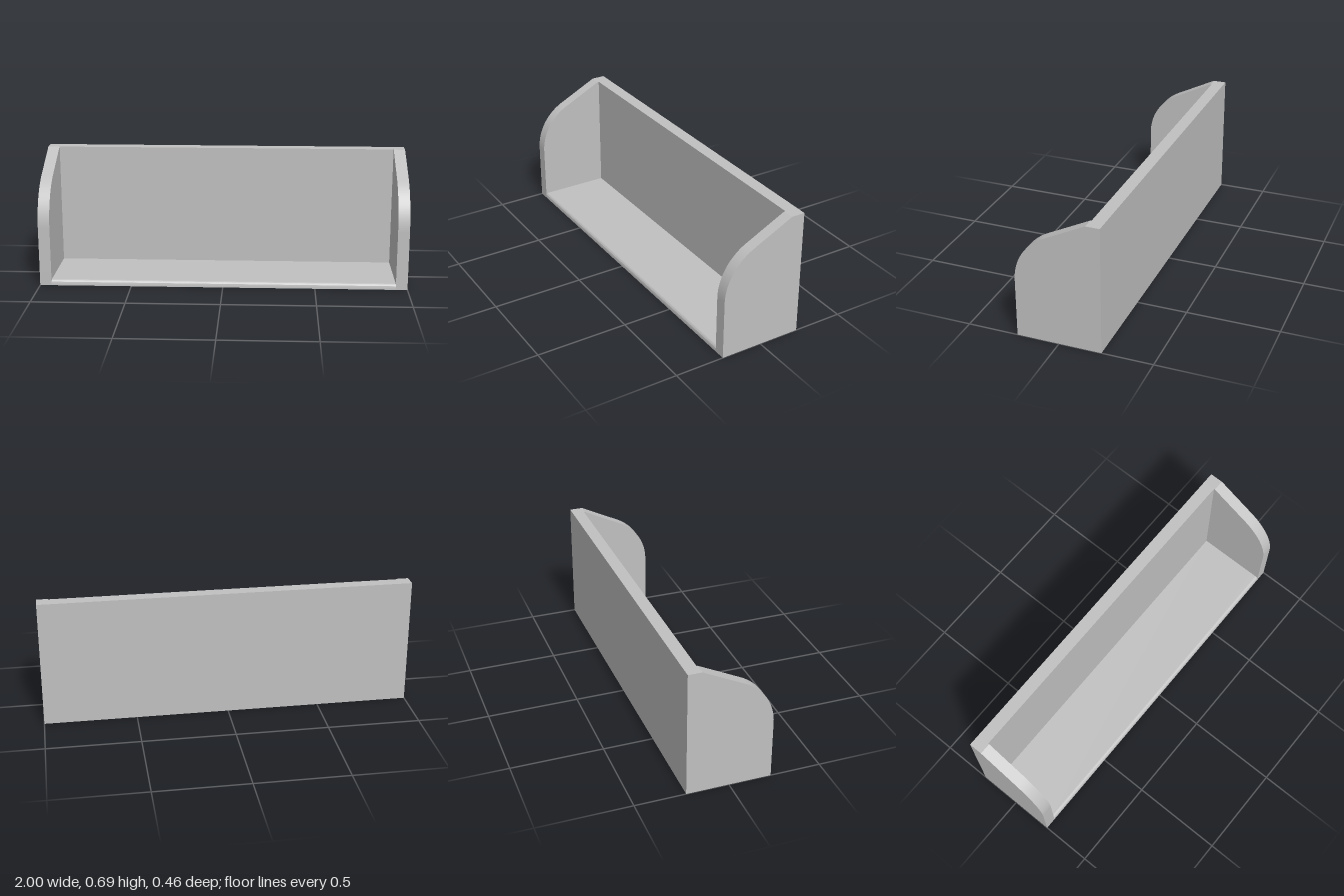
import * as THREE from 'three';
import { toCreasedNormals } from 'three/addons/utils/BufferGeometryUtils.js';

const FRONT = 0.228, BACK = -0.228, HEIGHT = 0.692, INNER = 0.937, BACK_FACE = -0.16;

export function createModel() {
  const group = new THREE.Group();
  const grey = new THREE.MeshStandardMaterial({ color: 0xc0c0c0 });
  grey.name = 'plain grey';

  // Extrudes a (z, y) profile along x from x0 to x1
  function addPart(name, shape, x0, x1) {
    let geo = new THREE.ExtrudeGeometry(shape, { depth: x1 - x0, bevelEnabled: false, curveSegments: 32 });
    geo.rotateY(-Math.PI / 2).translate(x1, 0, 0);
    geo = toCreasedNormals(geo, 0.35);
    const mesh = new THREE.Mesh(geo, grey);
    mesh.name = name;
    group.add(mesh);
  }

  // End panels: straight front, tangent arc, sloping top, short flat
  const R = 0.29, arcY = 0.322, sweep = THREE.MathUtils.degToRad(63.4);
  const side = new THREE.Shape();
  side.moveTo(BACK, 0);
  side.lineTo(FRONT, 0);
  side.lineTo(FRONT, arcY);
  side.absarc(FRONT - R, arcY, R, 0, sweep, false);
  side.lineTo(-0.154, HEIGHT);
  side.lineTo(BACK, HEIGHT);
  side.closePath();
  addPart('leftEndPanel', side, INNER, 1);
  addPart('rightEndPanel', side, -1, -INNER);

  // Back panel
  const back = new THREE.Shape();
  back.moveTo(BACK, 0);
  back.lineTo(BACK_FACE, 0);
  back.lineTo(BACK_FACE, HEIGHT);
  back.lineTo(BACK, HEIGHT);
  back.closePath();
  addPart('backPanel', back, -INNER, INNER);

  // Shelf floor with a rounded front edge
  const r = 0.018, top = 0.031;
  const floor = new THREE.Shape();
  floor.moveTo(BACK_FACE, 0);
  floor.lineTo(FRONT, 0);
  floor.lineTo(FRONT, top - r);
  floor.absarc(FRONT - r, top - r, r, 0, Math.PI / 2, false);
  floor.lineTo(BACK_FACE, top);
  floor.closePath();
  addPart('shelfFloor', floor, -INNER, INNER);

  return group;
}
